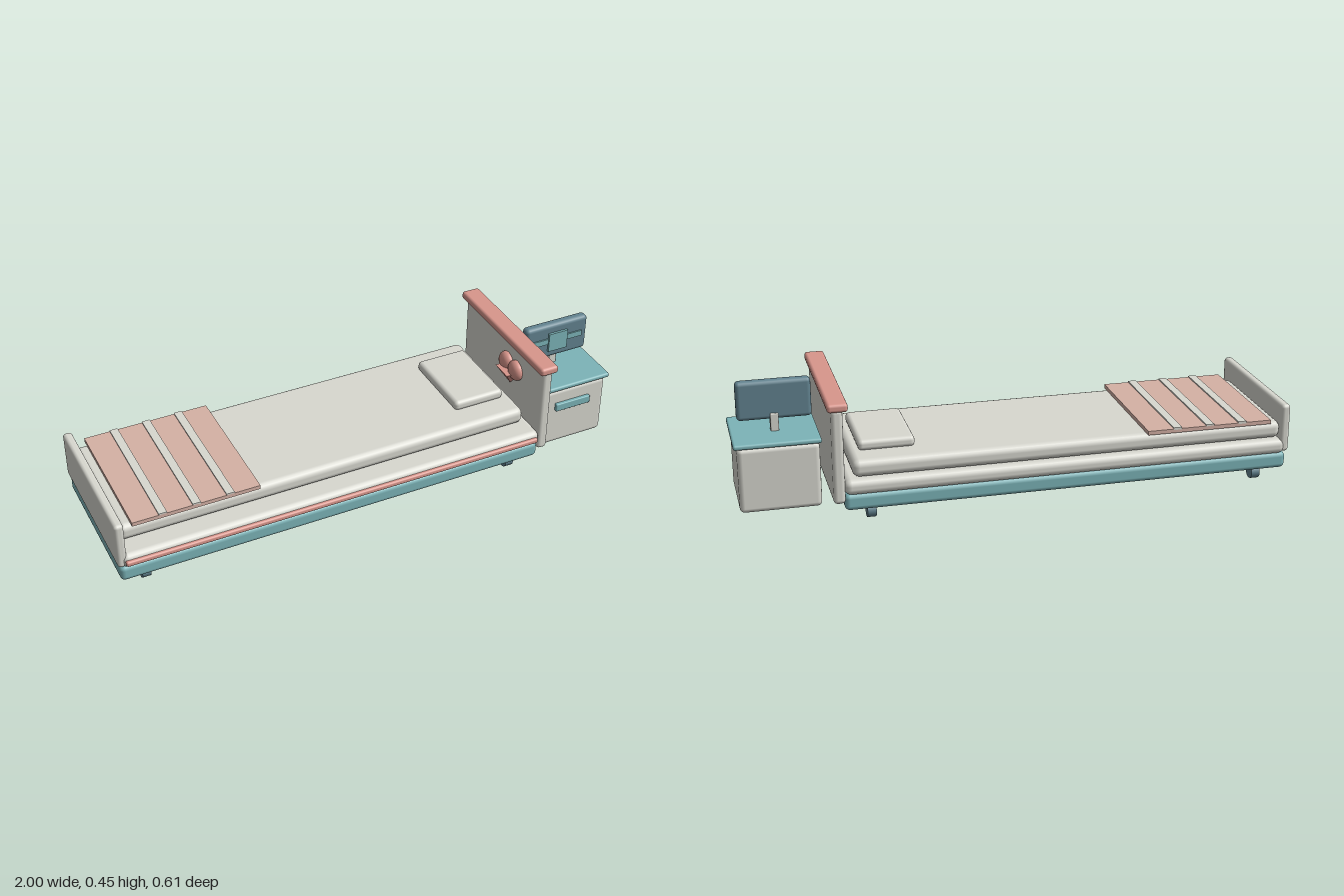
import * as THREE from 'three';
import { RoundedBoxGeometry } from 'three/addons/geometries/RoundedBoxGeometry.js';

const material = (name, color) => {
  const m = new THREE.MeshStandardMaterial({ color });
  m.name = name;
  return m;
};

export function createModel() {
  const cream = material('cream', 0xd8d8d0);
  const teal = material('teal', 0x7cb4b8);
  const pink = material('pink', 0xd9968c);
  const slate = material('slate', 0x628390);
  const blush = material('blush', 0xd5b1a5);

  const model = new THREE.Group();
  model.name = 'bedWithNightstand';
  const group = (name) => {
    const g = new THREE.Group();
    g.name = name;
    model.add(g);
    return g;
  };
  const bed = group('bed');
  const nightstand = group('nightstand');
  const monitor = group('monitor');
  const heart = group('heartOrnament');

  const add = (parent, name, geometry, mat, x, y, z) => {
    const mesh = new THREE.Mesh(geometry, mat);
    mesh.name = name;
    mesh.position.set(x, y, z);
    parent.add(mesh);
    return mesh;
  };
  // Box given by its extents on each axis; a radius rounds its edges
  const box = (parent, name, mat, [x0, x1], [y0, y1], [z0, z1], r = 0) => {
    const size = [x1 - x0, y1 - y0, z1 - z0];
    const geometry = r ? new RoundedBoxGeometry(...size, 2, r) : new THREE.BoxGeometry(...size);
    return add(parent, name, geometry, mat, (x0 + x1) / 2, (y0 + y1) / 2, (z0 + z1) / 2);
  };

  // Bed base, frame and side rail
  box(bed, 'base', teal, [-0.993, 0.641], [0.053, 0.115], [-0.286, 0.281], 0.018);
  box(bed, 'frame', cream, [-0.985, 0.641], [0.113, 0.17], [-0.298, 0.293], 0.024);
  box(bed, 'sideRail', pink, [-0.975, 0.627], [0.132, 0.152], [0.284, 0.304], 0.007);

  // Mattress, pillow and folded blanket
  box(bed, 'mattress', cream, [-0.968, 0.61], [0.172, 0.236], [-0.284, 0.218], 0.025);
  box(bed, 'pillow', cream, [0.373, 0.575], [0.232, 0.272], [-0.188, 0.12], 0.016);
  box(bed, 'blanket', blush, [-0.922, -0.453], [0.236, 0.251], [-0.294, 0.227]);
  for (const x of [-0.811, -0.688, -0.564])
    box(bed, 'blanketStripe', cream, [x - 0.015, x + 0.015], [0.247, 0.256], [-0.294, 0.227]);

  // Boards at both ends
  box(bed, 'footboard', cream, [-1, -0.966], [0.12, 0.302], [-0.292, 0.285], 0.013);
  box(bed, 'headboard', cream, [0.638, 0.68], [0.083, 0.43], [-0.289, 0.284], 0.015);
  box(bed, 'headboardCap', pink, [0.621, 0.693], [0.424, 0.455], [-0.302, 0.297], 0.011);

  // Caster wheels
  const wheel = new THREE.CylinderGeometry(0.028, 0.028, 0.032, 12).rotateZ(Math.PI / 2);
  for (const x of [-0.893, 0.543])
    for (const z of [-0.225, 0.22]) add(bed, 'wheel', wheel, slate, x, 0.029, z);

  // Heart on the headboard: two flattened lobes over a downward pyramid
  const lobe = new THREE.SphereGeometry(0.04, 16, 12).scale(0.65, 1, 1);
  for (const side of [-1, 1]) add(heart, 'heartLobe', lobe, pink, 0.632, 0.335, 0.072 + side * 0.034);
  const point = new THREE.ConeGeometry(0.06, 0.066, 4, 1).toNonIndexed();
  point.rotateY(Math.PI / 4).rotateX(Math.PI);
  point.computeVertexNormals();
  add(heart, 'heartPoint', point, pink, 0.632, 0.292, 0.072);

  // Nightstand
  box(nightstand, 'cabinet', cream, [0.696, 0.988], [0.002, 0.246], [-0.104, 0.182], 0.018);
  box(nightstand, 'cabinetTop', teal, [0.69, 1], [0.246, 0.265], [-0.113, 0.19], 0.008);
  box(nightstand, 'drawerHandle', teal, [0.769, 0.917], [0.158, 0.19], [0.18, 0.196], 0.004);

  // Monitor with a raised cross on its face
  box(monitor, 'post', cream, [0.826, 0.856], [0.262, 0.33], [0.002, 0.034], 0.004);
  box(monitor, 'screen', slate, [0.706, 0.973], [0.306, 0.451], [0.01, 0.05], 0.015);
  box(monitor, 'screenBar', teal, [0.734, 0.947], [0.371, 0.394], [0.048, 0.055]);
  box(monitor, 'screenPanel', teal, [0.8, 0.88], [0.341, 0.418], [0.052, 0.061]);

  return model;
}
